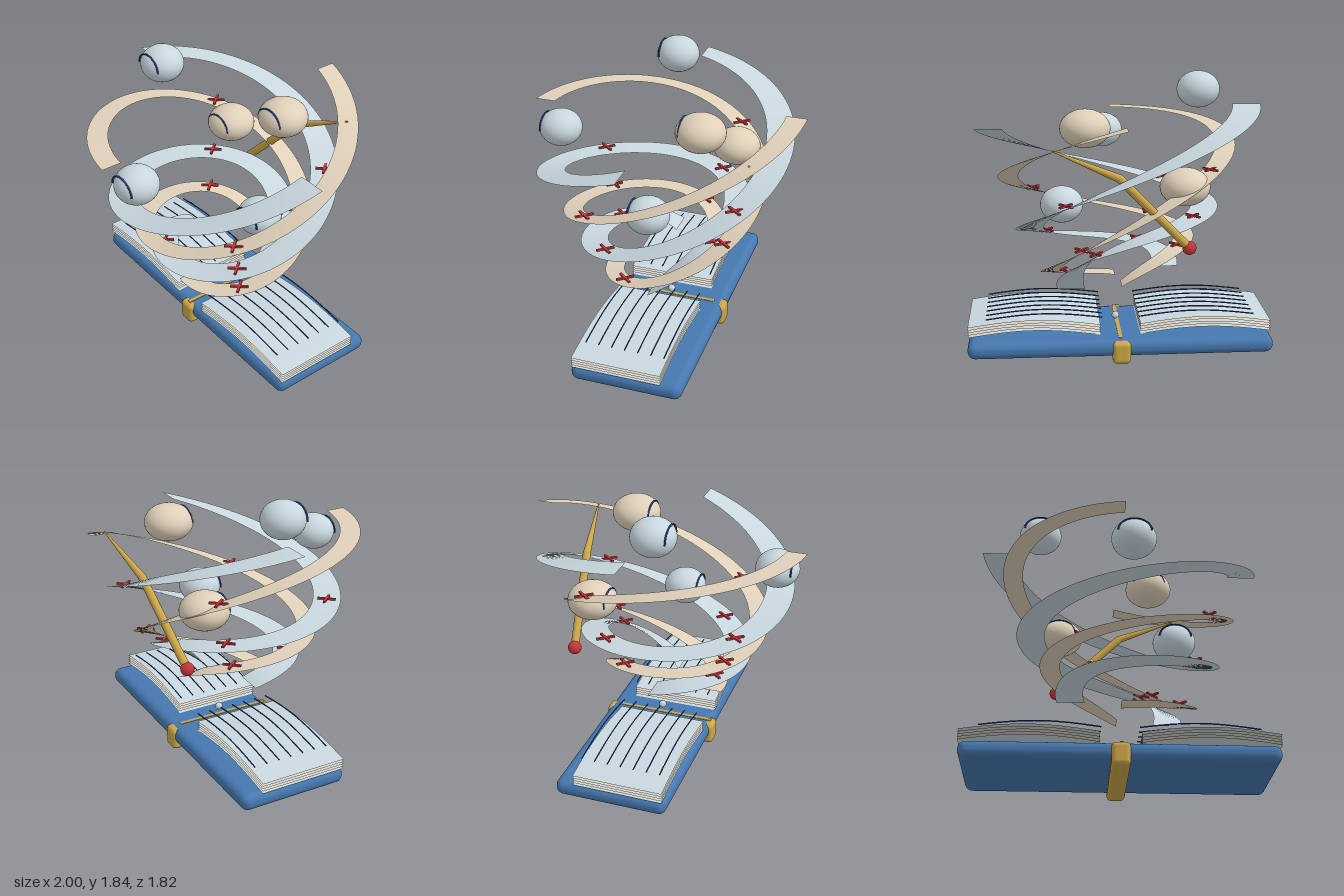
import * as THREE from 'three';
import { RoundedBoxGeometry } from 'three/addons/geometries/RoundedBoxGeometry.js';

const V = (x, y, z) => new THREE.Vector3(x, y, z);

function material(name, color, side = THREE.FrontSide) {
  const m = new THREE.MeshStandardMaterial({ color, side });
  m.name = name;
  return m;
}

// Centre line of one spiral ribbon, t from 0 (low, inner) to 1 (high, outer)
function spiralPoint(arm, t) {
  const turn = t * Math.PI * 2, angle = arm.start + turn, radius = 0.312 + 0.533 * t;
  const y = 0.455 + 1.1 * t - 0.065 * (1 - Math.cos(turn))
    + arm.tilt * Math.sin(angle - arm.phase) + arm.sway * Math.sin(turn);
  return { angle, radius, y };
}

// Flat band that lies level across its width
function ribbonGeometry(arm, steps = 96) {
  const pos = [], index = [];
  for (let i = 0; i <= steps; i++) {
    const { angle, radius, y } = spiralPoint(arm, i / steps);
    for (const side of [-0.5, 0.5]) {
      const r = radius + side * arm.width;
      pos.push(r * Math.cos(angle), y, -r * Math.sin(angle));
    }
    if (i < steps) {
      const a = i * 2;
      index.push(a, a + 1, a + 2, a + 1, a + 3, a + 2);
    }
  }
  const g = new THREE.BufferGeometry();
  g.setAttribute('position', new THREE.Float32BufferAttribute(pos, 3));
  g.setIndex(index);
  g.computeVertexNormals();
  return g;
}

// Thin page, arched along its width
function sheetGeometry(width, depth, rise) {
  const g = new THREE.PlaneGeometry(width, depth, 20, 1).rotateX(-Math.PI / 2);
  const p = g.attributes.position;
  for (let i = 0; i < p.count; i++) {
    p.setY(i, rise * Math.sin((p.getX(i) / width + 0.5) * Math.PI));
  }
  g.computeVertexNormals();
  return g;
}

export function createModel() {
  const model = new THREE.Group();
  const blue = material('coverBlue', 0x4678b0);
  const gold = material('gold', 0xcca648);
  const pale = material('paleBlue', 0xc8d7df);
  const paleSheet = material('paleBlueSheet', 0xc8d7df, THREE.DoubleSide);
  const creamSheet = material('creamSheet', 0xdfd0b9, THREE.DoubleSide);
  const cream = material('cream', 0xdfd0b9);
  const navy = material('inkNavy', 0x23427f);
  const red = material('red', 0xc8343c);

  const add = (name, geometry, mat, position, parent = model) => {
    const mesh = new THREE.Mesh(geometry, mat);
    mesh.name = name;
    if (position) mesh.position.copy(position);
    parent.add(mesh);
    return mesh;
  };

  // Book cover with a band round its middle
  add('cover', new RoundedBoxGeometry(1.99, 0.11, 0.735, 5, 0.05), blue, V(0, 0.1, -0.052));
  add('spineBand', new RoundedBoxGeometry(0.12, 0.15, 0.775, 4, 0.03), gold, V(0, 0.075, -0.048));
  add('spineStrip', new THREE.BoxGeometry(0.025, 0.006, 0.66), gold, V(0.005, 0.155, -0.02));

  // Stacked pages and their ruled lines, on both halves
  const sheet = sheetGeometry(0.865, 0.59, 0.04);
  const linePath = new THREE.CatmullRomCurve3(Array.from({ length: 9 }, (_, i) =>
    V(-0.38 + 0.095 * i, 0.033 * Math.sin((i / 8) * Math.PI), 0)));
  const line = new THREE.TubeGeometry(linePath, 24, 0.0045, 6);
  for (const [name, s] of [['left', 1], ['right', -1]]) {
    const pages = new THREE.Group();
    pages.name = name + 'Pages';
    model.add(pages);
    for (let i = 0; i < 5; i++) {
      add('sheet', sheet, i % 2 ? creamSheet : paleSheet, V(s * 0.565, 0.157 + 0.017 * i, 0.005), pages);
    }
    for (let i = 0; i < 7; i++) {
      add('ruledLine', line, navy, V(s * 0.5, 0.274, 0.245 - 0.087 * i), pages);
    }
  }

  // Row of beads
  const bead = new THREE.SphereGeometry(0.025, 16, 12);
  for (let i = 0; i < 9; i++) add('bead', bead, pale, V(-0.722 + 0.185 * i, 0.205, -0.045));

  // Four spiral ribbons, each carrying three crosses
  const bar = new THREE.BoxGeometry(0.016, 0.012, 0.12);
  for (let k = 0; k < 4; k++) {
    const isCream = k % 2 === 1;
    const arm = {
      start: k * Math.PI / 2,
      ...(isCream ? { width: 0.133, phase: 1.1, tilt: 0.13, sway: -0.045 }
        : { width: 0.185, phase: 0.7, tilt: 0.115, sway: 0.045 }),
    };
    add(isCream ? 'creamRibbon' : 'paleRibbon', ribbonGeometry(arm), isCream ? creamSheet : paleSheet);
    for (const t of [0.185, 0.42, 0.66]) {
      const { angle, radius, y } = spiralPoint(arm, t);
      const cross = new THREE.Group();
      cross.name = 'cross';
      cross.position.set(radius * Math.cos(angle), y + 0.02, -radius * Math.sin(angle));
      for (const turn of [-0.7, 0.7]) add('crossBar', bar, red, null, cross).rotation.y = turn;
      model.add(cross);
    }
  }

  // Floating flattened orbs, each with an arc on its front
  const arc = new THREE.TorusGeometry(0.105, 0.006, 8, 32, Math.PI);
  const orbs = [
    [-0.54, 1.715, 0.095, false], [0.225, 1.53, -0.297, true], [0.06, 1.345, 0.713, false],
    [-0.4, 1.163, -0.367, true], [0.37, 0.973, 0, false],
  ];
  for (const [x, y, z, isCream] of orbs) {
    const orb = new THREE.Group();
    orb.name = 'orb';
    orb.position.set(x, y, z);
    const r = isCream ? 0.16 : 0.142;
    add('orbBody', new THREE.SphereGeometry(r, 40, 28), isCream ? cream : pale, null, orb)
      .scale.y = 0.121 / r;
    add('orbArc', arc, navy, V(0, 0, isCream ? 0.115 : 0.107), orb).scale.y = 0.83;
    model.add(orb);
  }

  // Bent, tapering wand with a ball at its thick end
  const rod = (name, a, b, ra, rb) => {
    const mesh = add(name, new THREE.CylinderGeometry(rb, ra, a.distanceTo(b), 20), gold,
      a.clone().add(b).multiplyScalar(0.5));
    mesh.quaternion.setFromUnitVectors(V(0, 1, 0), b.clone().sub(a).normalize());
  };
  const end = V(-0.415, 0.8, -0.5), bend = V(0.03, 1.27, -0.585), tip = V(0.435, 1.46, -0.66);
  rod('wandHandle', end, bend, 0.027, 0.027);
  add('wandJoint', new THREE.SphereGeometry(0.027, 20, 14), gold, bend);
  rod('wandTip', bend, tip, 0.026, 0.005);
  add('wandBall', new THREE.SphereGeometry(0.044, 24, 16), red, end);

  return model;
}
